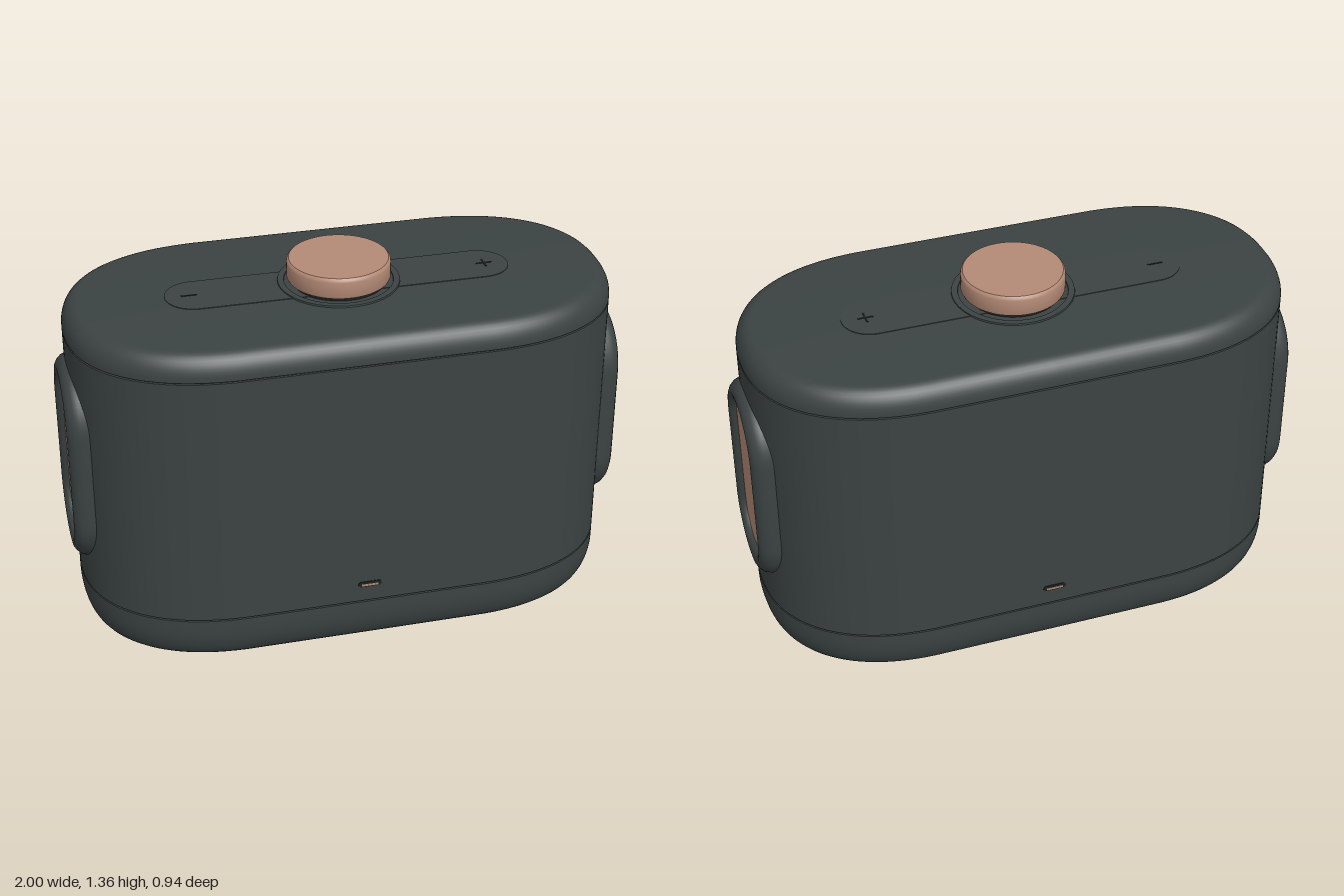
import * as THREE from 'three';
import { toCreasedNormals } from 'three/addons/utils/BufferGeometryUtils.js';

const shell = new THREE.MeshStandardMaterial({ color: 0x3b4342 });
shell.name = 'charcoal shell';
const copper = new THREE.MeshStandardMaterial({ color: 0xb48a76 });
copper.name = 'matte copper';
const shadow = new THREE.MeshStandardMaterial({ color: 0x1d2121 });
shadow.name = 'dark recess';

// Body outline: straight long sides with soft superelliptic ends
function bodyRing(inset, y) {
  const pts = [], n = 112, core = 0.4, e = 2 / 2.3;
  for (let i = 0; i < n; i++) {
    const t = (i / n) * Math.PI * 2, c = Math.cos(t), s = Math.sin(t);
    const cx = Math.abs(c) < 1e-6 ? 0 : Math.sign(c);
    pts.push([
      cx * (core + (0.57 - inset) * Math.abs(c) ** e),
      y,
      Math.sign(s) * (0.465 - inset) * Math.abs(s) ** e,
    ]);
  }
  return pts;
}

// Rounded rectangle outline with half sizes hx, hz and corner radius r
function roundRing(hx, hz, r, y) {
  const pts = [], steps = 16;
  const signs = [[1, 1], [-1, 1], [-1, -1], [1, -1]];
  signs.forEach(([sx, sz], q) => {
    for (let i = 0; i <= steps; i++) {
      const t = (q + i / steps) * Math.PI / 2;
      pts.push([sx * (hx - r) + r * Math.cos(t), y, sz * (hz - r) + r * Math.sin(t)]);
    }
  });
  return pts;
}

// Skin a stack of rings, optionally closing the ends
function loft(rings, capBottom, capTop) {
  const pos = [], n = rings[0].length;
  const tri = (a, b, c) => pos.push(...a, ...b, ...c);
  for (let j = 0; j + 1 < rings.length; j++) {
    for (let i = 0; i < n; i++) {
      const k = (i + 1) % n, lo = rings[j], hi = rings[j + 1];
      tri(lo[i], hi[i], lo[k]);
      tri(lo[k], hi[i], hi[k]);
    }
  }
  const bottom = rings[0], top = rings[rings.length - 1];
  for (let i = 0; i < n; i++) {
    const k = (i + 1) % n;
    if (capBottom) tri([0, bottom[0][1], 0], bottom[i], bottom[k]);
    if (capTop) tri([0, top[0][1], 0], top[k], top[i]);
  }
  const g = new THREE.BufferGeometry();
  g.setAttribute('position', new THREE.Float32BufferAttribute(pos, 3));
  return toCreasedNormals(g, 0.55);
}

function add(parent, name, geometry, material, x = 0, y = 0, z = 0) {
  const m = new THREE.Mesh(geometry, material);
  m.name = name;
  m.position.set(x, y, z);
  parent.add(m);
  return m;
}

function lathe(points) {
  const g = new THREE.LatheGeometry(points.map(([r, y]) => new THREE.Vector2(r, y)), 64);
  return toCreasedNormals(g.toNonIndexed(), 0.55);
}

// Shell with rounded edges and two seam grooves
function bodyGeometry() {
  const profile = [], steps = 9;
  for (let i = 0; i <= steps; i++) {
    const t = (i / steps) * Math.PI / 2;
    profile.push([0.07 * (1 - Math.sin(t)), 0.04 + 0.14 * (1 - Math.cos(t))]);
  }
  for (const y of [0.22, 1.177]) {
    profile.push([0, y - 0.003], [0.007, y - 0.002], [0.007, y + 0.002], [0, y + 0.003]);
  }
  for (let i = 0; i <= steps; i++) {
    const t = (i / steps) * Math.PI / 2;
    profile.push([0.062 * (1 - Math.cos(t)), 1.185 + 0.085 * Math.sin(t)]);
  }
  return loft(profile.map(([d, y]) => bodyRing(d, y)), true, true);
}

// Side pod built along +y, then turned to point along +x
function makeSidePod(name) {
  const pod = new THREE.Group();
  pod.name = name;
  const rim = [
    [0.39, 0.215, 0.215, 0.88], [0.388, 0.213, 0.213, 0.955], [0.38, 0.206, 0.206, 0.975],
    [0.366, 0.195, 0.195, 0.99], [0.35, 0.181, 0.178, 0.998], [0.338, 0.168, 0.163, 1.0],
    [0.322, 0.152, 0.142, 0.997], [0.31, 0.14, 0.125, 0.989], [0.302, 0.131, 0.113, 0.975],
    [0.302, 0.131, 0.113, 0.95],
  ];
  const rimGeo = loft(rim.map(r => roundRing(...r)), false, false).rotateZ(-Math.PI / 2);
  add(pod, 'podRim', rimGeo, shell);
  const panelGeo = loft([roundRing(0.303, 0.132, 0.114, 0.95), roundRing(0.303, 0.132, 0.114, 0.977)],
    false, true).rotateZ(-Math.PI / 2);
  add(pod, 'podPanel', panelGeo, copper);
  pod.position.y = 0.695;
  return pod;
}

export function createModel() {
  const model = new THREE.Group();
  model.name = 'portableSpeaker';

  add(model, 'body', bodyGeometry(), shell);

  // Stepped foot under the shell
  add(model, 'foot', loft([
    bodyRing(0.112, 0), bodyRing(0.098, 0.032), bodyRing(0.07, 0.034), bodyRing(0.07, 0.045),
  ], true, false), shell);

  // End pods
  const left = makeSidePod('leftPod');
  const right = makeSidePod('rightPod');
  right.rotation.y = Math.PI;
  model.add(left, right);

  // Control strip on top with minus and plus marks
  add(model, 'controlStrip', loft([
    roundRing(0.615, 0.105, 0.105, 1.268), roundRing(0.615, 0.105, 0.105, 1.2725),
  ], false, true), shell);
  const bar = new THREE.BoxGeometry(0.056, 0.003, 0.006);
  add(model, 'minusMark', bar, shadow, -0.53, 1.273, 0);
  add(model, 'plusMarkAcross', bar, shadow, 0.53, 1.273, 0);
  add(model, 'plusMarkAlong', bar, shadow, 0.53, 1.273, 0).rotation.y = Math.PI / 2;

  // Dial with its collar and neck
  add(model, 'dialCollar', lathe([[0.216, 1.266], [0.214, 1.276], [0.192, 1.276], [0.19, 1.268]]), shell);
  add(model, 'dialNeck', lathe([[0.165, 1.265], [0.165, 1.285]]), shadow);
  add(model, 'dial', lathe([
    [0, 1.282], [0.172, 1.282], [0.179, 1.286], [0.182, 1.293], [0.182, 1.346],
    [0.18, 1.354], [0.174, 1.36], [0, 1.36],
  ]), copper);

  // Small indicator slots on both long sides
  for (const s of [1, -1]) {
    const side = s > 0 ? 'front' : 'back';
    const slot = loft([roundRing(0.042, 0.011, 0.01, 0), roundRing(0.042, 0.011, 0.01, 0.003)], false, true);
    slot.rotateX(Math.PI / 2);
    if (s < 0) slot.rotateY(Math.PI);
    add(model, side + 'Slot', slot, shadow, 0, 0.293, s * 0.464);
    add(model, side + 'SlotLight', new THREE.BoxGeometry(0.06, 0.008, 0.003), copper, 0, 0.29, s * 0.4665);
  }
  return model;
}
